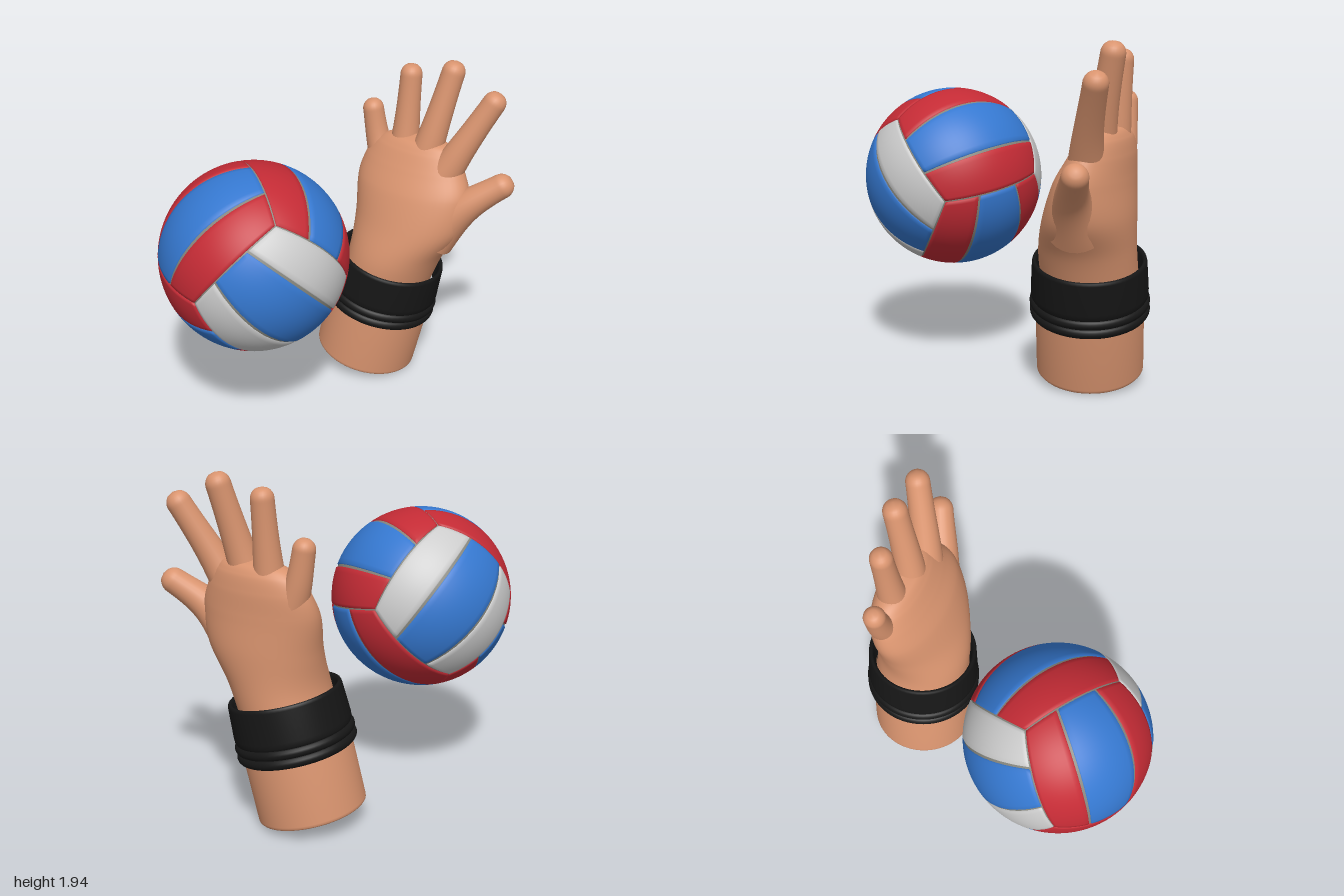
import * as THREE from 'three';
import { mergeVertices } from 'three/addons/utils/BufferGeometryUtils.js';

const V = (x, y, z) => new THREE.Vector3(x, y, z);
const mat = (color) => new THREE.MeshStandardMaterial({ color });
const skin = mat(0xd9946f), black = mat(0x161616), seam = mat(0x85857c);
const red = mat(0xc42b35), blue = mat(0x3578d0), white = mat(0xcccccc);

function add(parent, name, geometry, material) {
  const mesh = new THREE.Mesh(geometry, material);
  mesh.name = name;
  parent.add(mesh);
  return mesh;
}

// Smooth surface from a grid of points; at(i, j) gives each point
function gridSurface(rows, cols, at) {
  const pos = [], index = [];
  for (let i = 0; i < rows; i++)
    for (let j = 0; j < cols; j++) pos.push(...at(i, j).toArray());
  for (let i = 0; i < rows - 1; i++)
    for (let j = 0; j < cols - 1; j++) {
      const a = i * cols + j, c = a + cols;
      index.push(a, a + 1, c, a + 1, c + 1, c);
    }
  const g = new THREE.BufferGeometry();
  g.setAttribute('position', new THREE.Float32BufferAttribute(pos, 3));
  g.setIndex(index);
  const merged = mergeVertices(g, 1e-5);
  merged.computeVertexNormals();
  return merged;
}

// Samples from lo to hi with an extra one close to each end for the panel bevel
function samples(lo, hi, n) {
  const e = 0.018, out = [lo];
  for (let i = 0; i <= n; i++) out.push(lo + e + ((hi - lo - 2 * e) * i) / n);
  out.push(hi);
  return out;
}

// Ball: six cube faces projected to a sphere, each cut in three strips
function createBall() {
  const ball = new THREE.Group();
  ball.name = 'ball';
  const R = 0.516, gap = 0.009;
  add(ball, 'ballSeams', new THREE.SphereGeometry(R - 0.007, 64, 48), seam);

  const panel = (N, U, W, k, material) => {
    const ts = samples((2 * k - 1) / 3 + gap, (2 * k + 1) / 3 - gap, 10);
    const ss = samples(-1 + gap, 1 - gap, 26);
    const g = gridSurface(ts.length, ss.length, (i, j) => {
      const edge = i === 0 || j === 0 || i === ts.length - 1 || j === ss.length - 1;
      return N.clone().addScaledVector(U, ss[j]).addScaledVector(W, ts[i])
        .normalize().multiplyScalar(edge ? R - 0.012 : R);
    });
    add(ball, 'ballPanel', g, material);
  };

  const n = V(0.22, -0.18, 0.96).normalize();
  const u = V(0.648, -0.706, -0.284).normalize();
  const v = n.clone().cross(u).normalize();
  u.crossVectors(v, n);
  [[n, u, v, white], [u, v, n, red], [v, n, u, red]].forEach(([N, U, W, outer]) => {
    for (const side of [1, -1])
      for (const k of [-1, 0, 1])
        panel(N.clone().multiplyScalar(side), U, W.clone().multiplyScalar(side), k, k ? outer : blue);
  });
  ball.position.set(-0.485, 1.08, 0.19);
  return ball;
}

// Finger: tube along a curve, flared at the root and rounded at the tip
function createFinger(points, rootRadius, tipRadius) {
  const curve = new THREE.CatmullRomCurve3(points.map((p) => V(...p)));
  const length = curve.getLength(), steps = 72, sides = 24;
  const tube = new THREE.TubeGeometry(curve, steps, 1, sides);
  const pos = tube.attributes.position, q = V(0, 0, 0);
  for (let i = 0; i < pos.count; i++) {
    const t = Math.floor(i / (sides + 1)) / steps;
    const c = curve.getPointAt(t);
    let r = tipRadius + (rootRadius - tipRadius) * (1 - t) ** 2;
    const over = (t - 1) * length + tipRadius;
    if (over > 0) r *= Math.sqrt(Math.max(0, 1 - (over / tipRadius) ** 2));
    q.fromBufferAttribute(pos, i).sub(c).multiplyScalar(r).add(c);
    pos.setXYZ(i, q.x, q.y, q.z);
  }
  tube.deleteAttribute('uv');
  tube.deleteAttribute('normal');
  const g = mergeVertices(tube, 1e-5);
  g.computeVertexNormals();
  return g;
}

// Palm: oval sections [height, across, depth, half width, half thickness]
function createPalm() {
  const sections = [
    [0.6, 0.0, -0.486, 0.27, 0.27],
    [0.8, 0.067, -0.498, 0.285, 0.265],
    [1.0, 0.125, -0.535, 0.345, 0.235],
    [1.2, 0.124, -0.565, 0.365, 0.19],
    [1.33, 0.11, -0.597, 0.325, 0.15],
    [1.42, 0.11, -0.615, 0.265, 0.115],
    [1.47, 0.12, -0.62, 0.18, 0.075],
    [1.49, 0.12, -0.62, 0, 0],
  ];
  const centre = new THREE.CatmullRomCurve3(sections.map((s) => V(s[1], s[0], s[2])));
  const size = new THREE.CatmullRomCurve3(sections.map((s) => V(s[3], s[4], 0)), false, 'catmullrom', 0.5);
  const rows = 57, cols = 49, h = Math.SQRT1_2;
  return gridSurface(rows, cols, (i, j) => {
    const c = centre.getPoint(i / (rows - 1)), s = size.getPoint(i / (rows - 1));
    const angle = ((j % (cols - 1)) / (cols - 1)) * Math.PI * 2;
    const w = c.x + s.x * Math.cos(angle), p = c.z - s.y * Math.sin(angle);
    return V((w - p) * h, c.y, (w + p) * h);
  });
}

function createHand() {
  const hand = new THREE.Group();
  hand.name = 'hand';
  add(hand, 'palm', createPalm(), skin);
  const fingers = [
    ['littleFinger', [[0.38, 1.15, -0.48], [0.322, 1.39, -0.545], [0.285, 1.64, -0.575]], 0.105, 0.06],
    ['ringFinger', [[0.43, 1.15, -0.42], [0.462, 1.48, -0.437], [0.492, 1.885, -0.455]], 0.115, 0.062],
    ['middleFinger', [[0.49, 1.15, -0.32], [0.58, 1.48, -0.3], [0.715, 1.94, -0.312]], 0.12, 0.066],
    ['indexFinger', [[0.56, 1.15, -0.22], [0.71, 1.44, -0.17], [0.925, 1.805, -0.13]], 0.12, 0.066],
    ['thumb', [[0.58, 0.96, -0.17], [0.75, 1.16, -0.075], [0.985, 1.335, 0]], 0.16, 0.07],
  ];
  for (const [name, points, root, tip] of fingers)
    add(hand, name, createFinger(points, root, tip), skin);
  return hand;
}

// Forearm and wristband share one tilted axis
function createForearm() {
  const arm = new THREE.Group();
  arm.name = 'forearm';
  const lathe = (pts) => new THREE.LatheGeometry(pts.map((p) => new THREE.Vector2(...p)), 64);
  add(arm, 'forearmSkin', lathe([
    [0, 0], [0.285, 0], [0.294, 0.001], [0.3, 0.008], [0.301, 0.02], [0.301, 0.4], [0.27, 0.6],
  ]), skin);

  const band = new THREE.Group();
  band.name = 'wristband';
  arm.add(band);
  add(band, 'bandSleeve', lathe([
    [0.29, 0.44], [0.315, 0.46], [0.324, 0.475], [0.325, 0.5], [0.315, 0.67], [0.311, 0.684],
    [0.303, 0.69], [0.294, 0.685], [0.288, 0.67], [0.275, 0.58],
  ]), black);
  for (const t of [0.385, 0.437]) {
    const roll = add(band, 'bandRoll', new THREE.TorusGeometry(0.303, 0.03, 16, 64), black);
    roll.rotation.x = Math.PI / 2;
    roll.position.y = t;
  }
  arm.position.set(0.235, 0.07, -0.395);
  arm.quaternion.setFromUnitVectors(V(0, 1, 0), V(0.205, 0.974, 0.1).normalize());
  return arm;
}

export function createModel() {
  const model = new THREE.Group();
  model.name = 'handAndBall';
  model.add(createBall(), createHand(), createForearm());
  return model;
}
